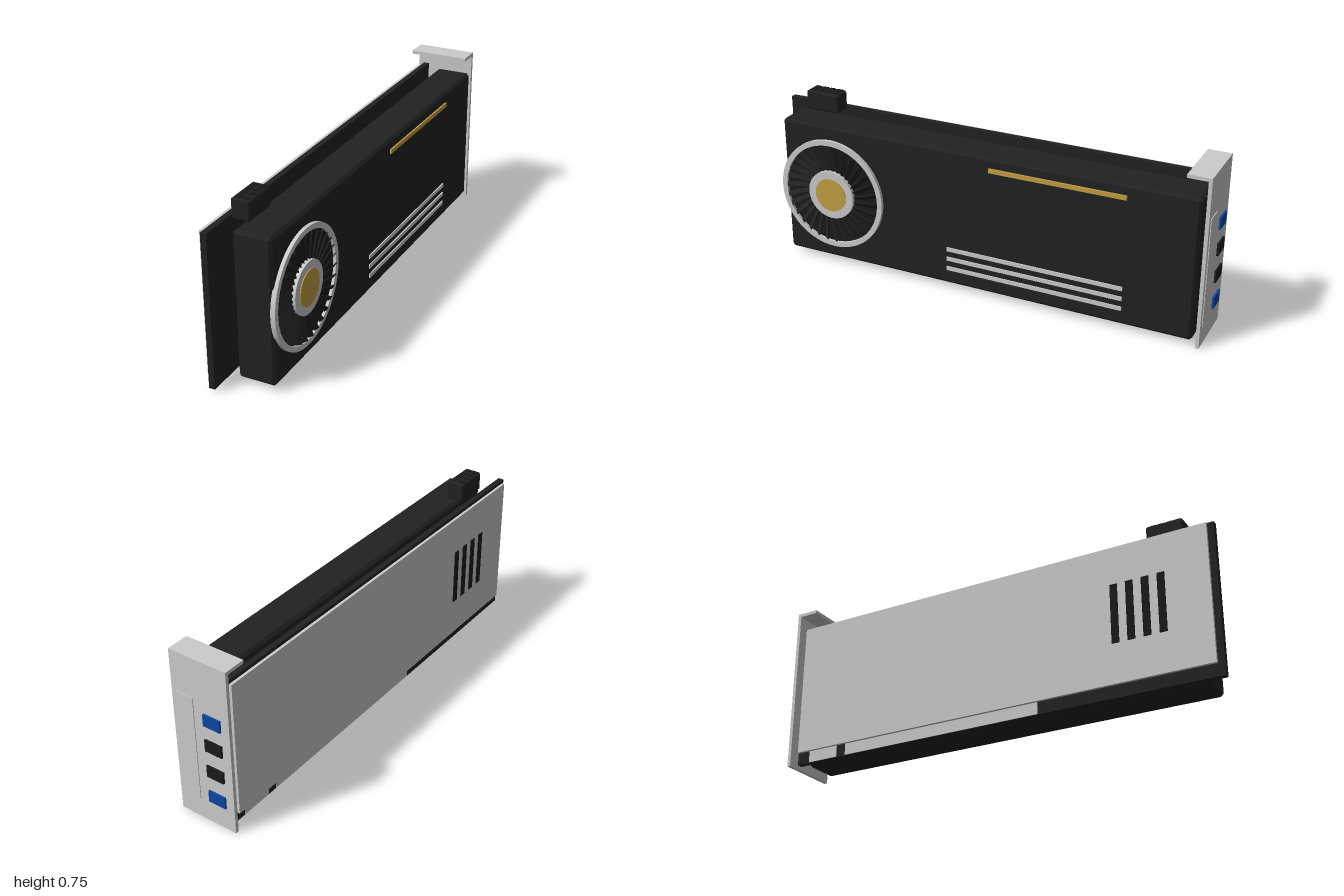
import * as THREE from 'three';
import { toCreasedNormals } from 'three/addons/utils/BufferGeometryUtils.js';
import { ConvexGeometry } from 'three/addons/geometries/ConvexGeometry.js';

const material = (name, color) => {
  const m = new THREE.MeshStandardMaterial({ color });
  m.name = name;
  return m;
};

// Box with all edges cut at 45 degrees
function chamferBox(w, h, d, c) {
  const pts = [];
  for (const x of [-1, 1]) for (const y of [-1, 1]) for (const z of [-1, 1])
    for (let k = 0; k < 3; k++) {
      const cut = [c, c, c];
      cut[k] = 0;
      pts.push(new THREE.Vector3(x * (w / 2 - cut[0]), y * (h / 2 - cut[1]), z * (d / 2 - cut[2])));
    }
  return new ConvexGeometry(pts);
}

export function createModel() {
  const black = material('black plastic', 0x222222);
  const dark = material('dark plastic', 0x1a1a1a);
  const silver = material('silver metal', 0xcccccc);
  const gold = material('gold', 0xc5a042);
  const blue = material('blue port', 0x0d47a1);

  const model = new THREE.Group();
  model.name = 'graphicsCard';

  const add = (name, geometry, mat, parent = model) => {
    const mesh = new THREE.Mesh(geometry, mat);
    mesh.name = name;
    parent.add(mesh);
    return mesh;
  };
  // Box given by its minimum and maximum along each axis
  const box = (name, mat, [x0, x1], [y0, y1], [z0, z1], chamfer = 0) => {
    const size = [x1 - x0, y1 - y0, z1 - z0];
    const g = chamfer ? chamferBox(...size, chamfer) : new THREE.BoxGeometry(...size);
    const mesh = add(name, g, mat);
    mesh.position.set((x0 + x1) / 2, (y0 + y1) / 2, (z0 + z1) / 2);
    return mesh;
  };

  // Main bodies
  box('circuitBoard', black, [-0.113, -0.088], [0.01, 0.66], [-0.96, 1]);
  box('shroud', black, [-0.04, 0.12], [0.025, 0.645], [-0.96, 0.91], 0.012);
  box('backplate', silver, [-0.132, -0.12], [0.06, 0.653], [-0.95, 0.975]);
  for (let i = 0; i < 4; i++) {
    const z = 0.575 + i * 0.067;
    box('backplateSlot', dark, [-0.135, -0.131], [0.23, 0.486], [z - 0.016, z + 0.016]);
  }

  // Edge connector contacts
  for (const span of [[-0.71, 0.22], [-0.9, -0.755]])
    box('edgeContacts', silver, [-0.1145, -0.0865], [0.012, 0.075], span);

  // Stripes on the shroud
  box('goldStripe', gold, [0.119, 0.127], [0.581, 0.6], [-0.665, -0.075]);
  for (const y of [0.1, 0.145, 0.19])
    box('silverStripe', silver, [0.119, 0.125], [y - 0.009, y + 0.009], [-0.665, 0.12]);

  // Mounting bracket with its raised panel and ports
  box('bracket', silver, [-0.145, 0.12], [0, 0.722], [-0.992, -0.977]);
  box('bracketTab', silver, [-0.145, 0.12], [0.72, 0.735], [-0.992, -0.893]);
  box('bracketPanel', silver, [0.02, 0.098], [0.09, 0.56], [-0.995, -0.99]);
  [[0.13, blue], [0.25, dark], [0.37, dark], [0.485, blue]].forEach(([y, mat]) =>
    box('port', mat, [-0.107, -0.027], [y - 0.026, y + 0.026], [-1, -0.985]));

  // Power connector with two rows of sockets
  box('powerConnector', black, [-0.073, 0.004], [0.658, 0.742], [0.7, 0.857], 0.006);
  for (const x of [-0.051, -0.018])
    for (let i = 0; i < 4; i++) {
      const z = 0.725 + i * 0.036;
      box('powerSocket', dark, [x - 0.011, x + 0.011], [0.738, 0.746], [z - 0.012, z + 0.012]);
    }

  // Fan, built upright and then turned to face +x
  const fan = new THREE.Group();
  fan.name = 'fan';
  fan.position.set(0.12, 0.335, 0.673);
  fan.rotation.z = -Math.PI / 2;
  model.add(fan);

  const ringProfile = [[0.25, -0.005], [0.25, 0.015], [0.227, 0.015], [0.227, -0.005], [0.25, -0.005]]
    .map(([r, y]) => new THREE.Vector2(r, y));
  add('fanRing', toCreasedNormals(new THREE.LatheGeometry(ringProfile, 64), 0.6), silver, fan);
  add('fanFloor', new THREE.CylinderGeometry(0.228, 0.228, 0.006, 64), dark, fan);
  add('fanHub', new THREE.CylinderGeometry(0.11, 0.11, 0.02, 48), silver, fan).position.y = 0.01;
  add('fanCap', new THREE.CylinderGeometry(0.075, 0.075, 0.008, 48), gold, fan).position.y = 0.0195;

  // Swept, pitched blades
  const count = 30;
  for (let i = 0; i < count; i++) {
    const pivot = new THREE.Group();
    pivot.name = 'fanBlade';
    pivot.rotation.y = (i / count) * Math.PI * 2;
    fan.add(pivot);
    const blade = add('blade', new THREE.BoxGeometry(0.118, 0.004, 0.022), black, pivot);
    blade.position.set(0.165, 0.0095, 0);
    blade.rotation.set(0.6, 0.25, -0.04);
  }
  return model;
}
